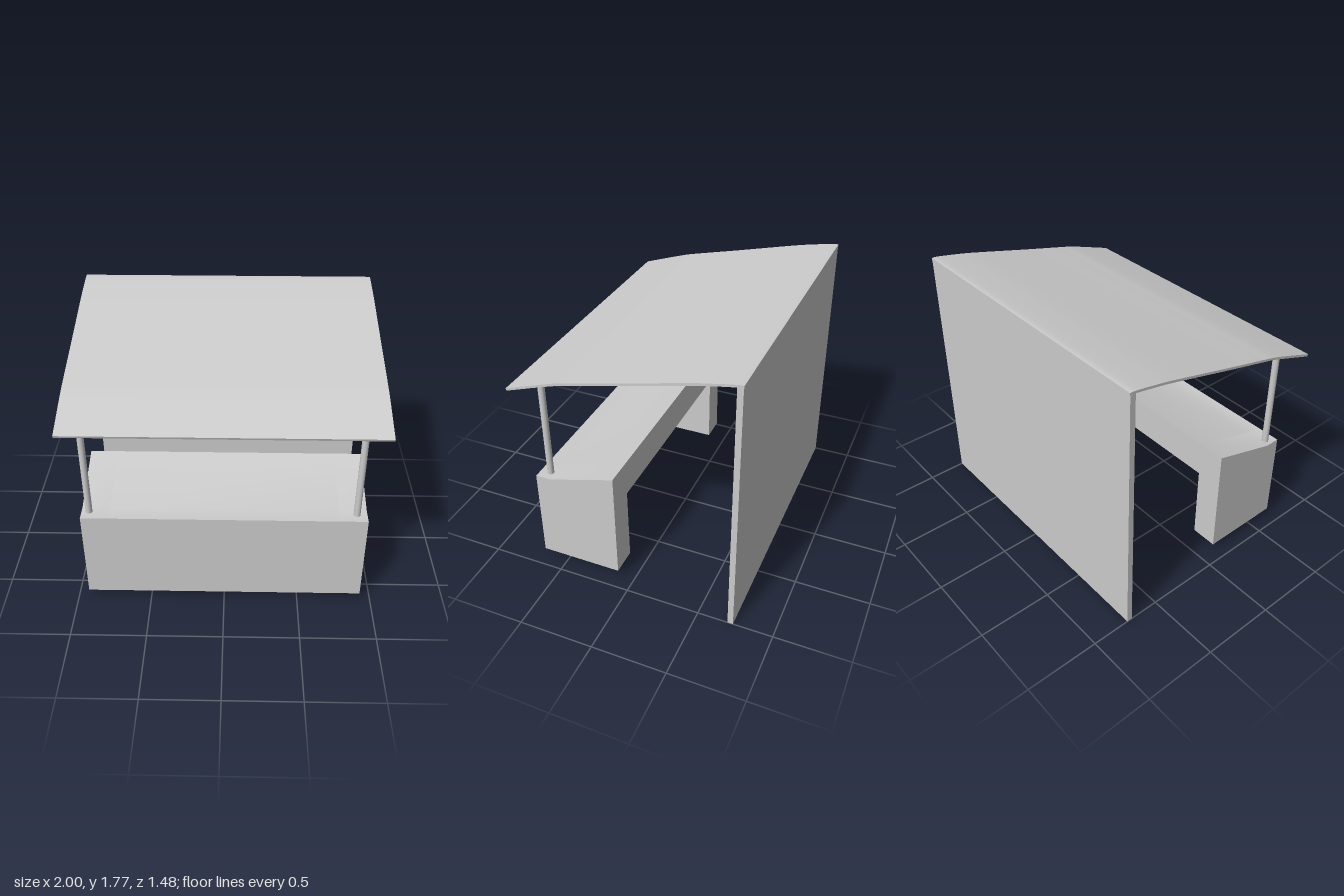
import * as THREE from 'three';
import { toCreasedNormals } from 'three/addons/utils/BufferGeometryUtils.js';

const grey = new THREE.MeshStandardMaterial({ color: 0xcccccc });

function part(name, geometry, parent) {
  const mesh = new THREE.Mesh(geometry, grey);
  mesh.name = name;
  parent.add(mesh);
  return mesh;
}

// Extrude a side profile of [z, y] points from x0 to x1
function sideExtrude(points, x0, x1) {
  const shape = new THREE.Shape(points.map(([z, y]) => new THREE.Vector2(z, y)));
  const geo = new THREE.ExtrudeGeometry(shape, { depth: x1 - x0, bevelEnabled: false });
  geo.rotateY(-Math.PI / 2).translate(x1, 0, 0);
  return toCreasedNormals(geo, Math.PI / 7);
}

export function createModel() {
  const stall = new THREE.Group();
  stall.name = 'marketStall';

  // Back wall, standing on the ground
  const wall = part('backWall', new THREE.BoxGeometry(2, 1.757, 0.037), stall);
  wall.position.set(0, 0.8785, -0.72);

  // Thin curved roof: an upper curve and its offset underside
  const curve = new THREE.SplineCurve([
    [0.74, 1.397], [0.435, 1.501], [0.3, 1.537], [0, 1.61],
    [-0.42, 1.715], [-0.572, 1.748], [-0.7, 1.772], [-0.74, 1.774],
  ].map(([z, y]) => new THREE.Vector2(z, y)));
  const thickness = 0.016;
  const upper = [], lower = [];
  for (let i = 0; i <= 24; i++) {
    const p = curve.getPoint(i / 24), t = curve.getTangent(i / 24);
    upper.push([p.x, p.y]);
    lower.unshift([Math.max(p.x - t.y * thickness, -0.74), p.y + t.x * thickness]);
  }
  part('roof', sideExtrude([...upper, ...lower], -1, 1), stall);

  // Counter: sloped top, hollow at the back and underneath
  const counter = new THREE.Group();
  counter.name = 'counter';
  stall.add(counter);
  const w = 0.924, inner = 0.742;
  const front = 0.658, back = 0.102, bottom = 0.068;
  const top = [[front, 0.705], [0.555, 0.705], [back, 0.84]];
  const endProfile = [[back, bottom], [front, bottom], ...top];
  const shellProfile = [[0.555, bottom], [front, bottom], ...top, [back, 0.595], [0.555, 0.595]];
  part('counterTopAndFront', sideExtrude(shellProfile, -inner, inner), counter);
  part('counterRightEnd', sideExtrude(endProfile, -w, -inner), counter);
  part('counterLeftEnd', sideExtrude(endProfile, inner, w), counter);

  // Round posts between counter and roof
  for (const [name, x] of [['rightPost', -0.875], ['leftPost', 0.857]]) {
    const post = part(name, new THREE.CylinderGeometry(0.022, 0.022, 0.725, 24), stall);
    post.position.set(x, 1.0605, 0.588);
  }
  return stall;
}
